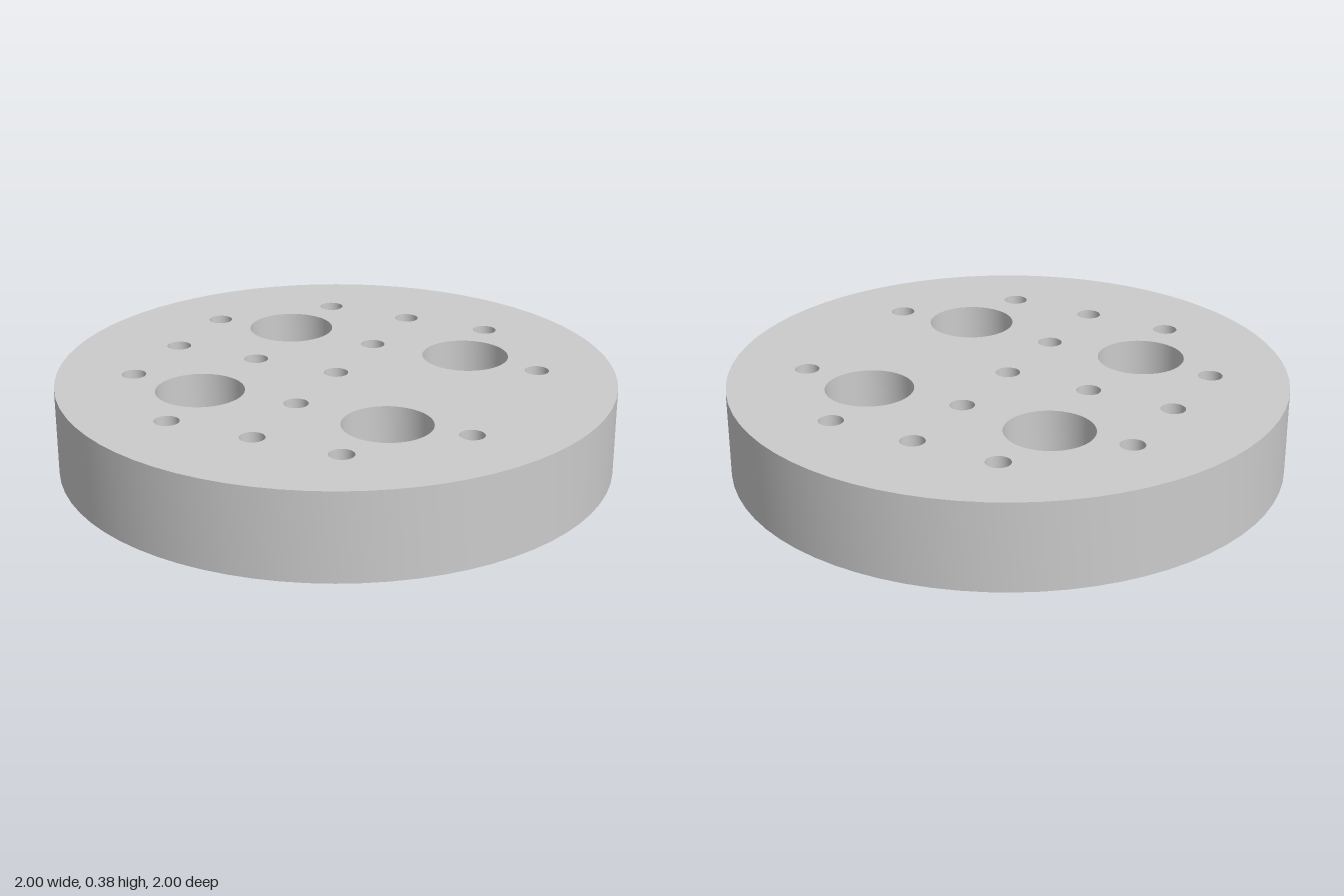
import * as THREE from 'three';
import { toCreasedNormals } from 'three/addons/utils/BufferGeometryUtils.js';

const TOP = 0.385, BASE = 0.067;             // plate faces
const PITCH = 0.323, BOLT = 0.357;           // hole grid spacing, bolt offset
const R = { plate: 1, pilot: 0.318, tapped: 0.044, bolt: 0.092, head: 0.157, pin: 0.083 };

export function createModel() {
  const group = new THREE.Group();
  const material = new THREE.MeshStandardMaterial({ color: 0xcccccc });

  const add = (name, geometry, x = 0, z = 0) => {
    const mesh = new THREE.Mesh(geometry, material);
    mesh.name = name;
    mesh.position.set(x, 0, z);
    group.add(mesh);
  };

  // Revolved surface: rising profiles face outward, falling ones face inward
  const turn = (profile, sides) => toCreasedNormals(
    new THREE.LatheGeometry(profile.map(p => new THREE.Vector2(...p)), sides), 0.6);

  const circle = (x, y, r, sides) => Array.from({ length: sides }, (_, i) => {
    const a = i / sides * Math.PI * 2;
    return new THREE.Vector2(x + r * Math.cos(a), y + r * Math.sin(a));
  });

  // Flat disc pierced by holes [x, z, radius, sides], facing up (1) or down (-1)
  const face = (holes, y, up) => {
    const shape = new THREE.Shape(circle(0, 0, R.plate, 72));
    for (const [x, z, r, sides] of holes) shape.holes.push(new THREE.Path(circle(x, -up * z, r, sides)));
    return new THREE.ShapeGeometry(shape).rotateX(-up * Math.PI / 2).translate(0, y, 0);
  };

  // Hole positions
  const bolts = [[1, 1], [1, -1], [-1, 1], [-1, -1]].map(([x, z]) => [x * BOLT, z * BOLT]);
  const tapped = [[0, 0], [-1, 0], [-2, 0]];
  for (const s of [-1, 1]) tapped.push([0, s], [-2, s], [2, s], [-1, 2 * s], [0, 2 * s], [1, 2 * s]);
  const tappedAt = tapped.map(([x, z]) => [x * PITCH, z * PITCH]);
  const pin = [0.51, 0];

  // Plate
  add('plateRim', turn([[R.plate, BASE], [R.plate, TOP]], 72));
  add('plateTop', face([
    ...bolts.map(p => [...p, R.head, 48]),
    ...tappedAt.map(p => [...p, R.tapped, 24]),
  ], TOP, 1));
  add('plateUnderside', face([
    ...bolts.map(p => [...p, R.bolt, 48]),
    [...pin, R.pin, 48],
    [0, 0, R.pilot, 72],
  ], BASE, -1));

  // Centring boss underneath
  add('centringBoss', turn([[0, 0], [R.pilot, 0], [R.pilot, BASE]], 72));

  // Counterbored through holes
  const step = TOP - 0.18;
  const boltBore = turn([[R.head, TOP], [R.head, step], [R.bolt, step], [R.bolt, BASE]], 48);
  for (const p of bolts) add('counterboredHole', boltBore, ...p);

  // Blind tapped holes in the top
  const tappedBore = turn([[R.tapped, TOP], [R.tapped, TOP - 0.2], [0, TOP - 0.2]], 24);
  for (const p of tappedAt) add('tappedHole', tappedBore, ...p);

  // Blind dowel hole in the underside
  add('dowelHole', turn([[0, BASE + 0.2], [R.pin, BASE + 0.2], [R.pin, BASE]], 48), ...pin);

  return group;
}
